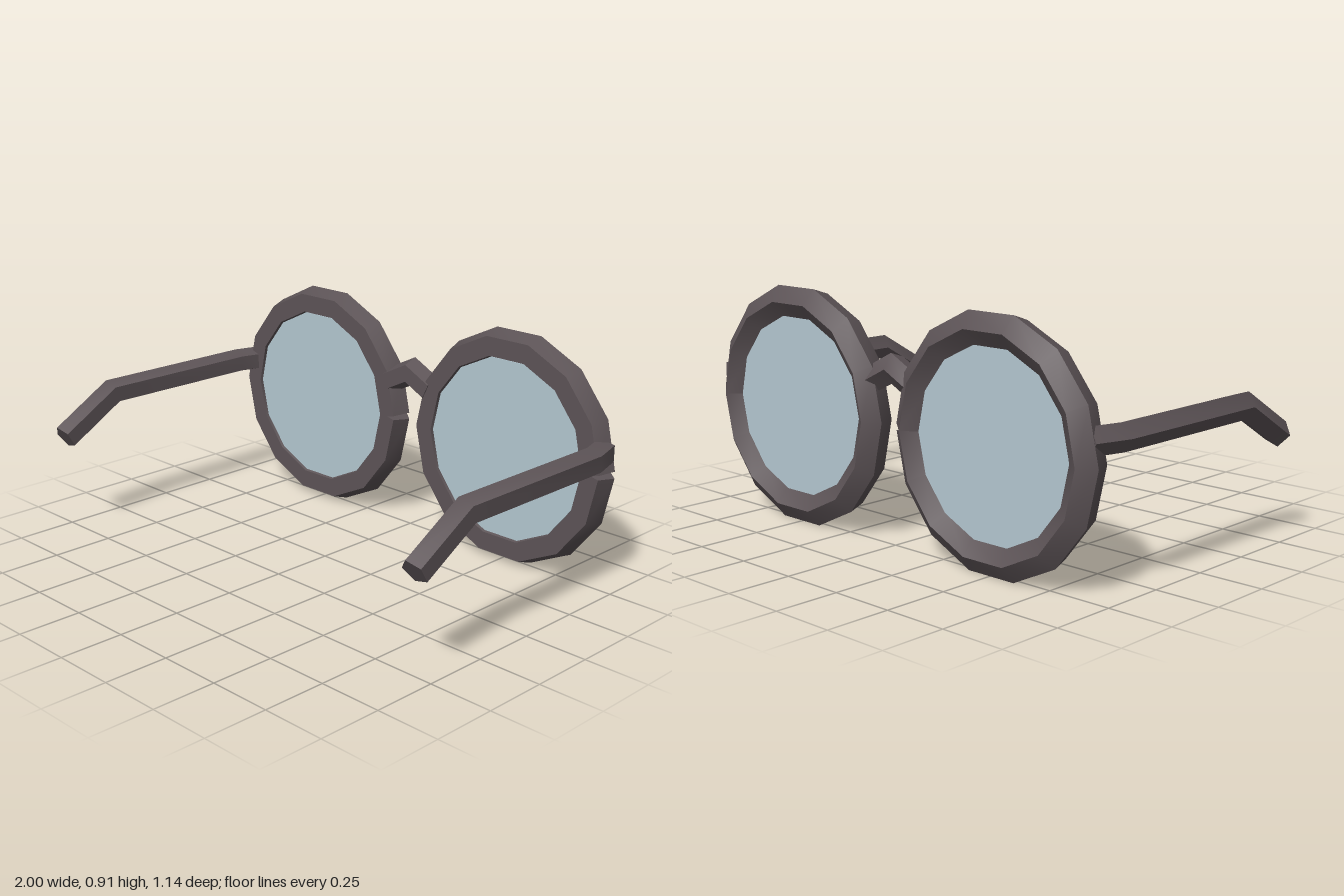
import * as THREE from 'three';
import { toCreasedNormals } from 'three/addons/utils/BufferGeometryUtils.js';

// Sweeps a pentagon along a path with mitred corners and flat end caps.
// `apex` is the direction one corner of the pentagon points to.
function sweep(path, radius, apex, sides = 5) {
  const dirs = path.slice(1).map((p, i) => p.clone().sub(path[i]).normalize());
  const u = apex.clone().addScaledVector(dirs[0], -apex.dot(dirs[0])).normalize();
  const v = dirs[0].clone().cross(u);
  const rings = [[]];
  for (let k = 0; k < sides; k++) {
    const a = (k / sides) * Math.PI * 2;
    rings[0].push(path[0].clone()
      .addScaledVector(u, radius * Math.cos(a))
      .addScaledVector(v, radius * Math.sin(a)));
  }
  for (let i = 1; i < path.length; i++) {
    const dir = dirs[i - 1];
    const plane = dir.clone().add(dirs[i] ?? dir).normalize();
    rings.push(rings[i - 1].map((p) => {
      const t = path[i].clone().sub(p).dot(plane) / dir.dot(plane);
      return p.clone().addScaledVector(dir, t);
    }));
  }
  const pos = [];
  const tri = (...pts) => pts.forEach((p) => pos.push(p.x, p.y, p.z));
  for (let i = 0; i + 1 < rings.length; i++) {
    for (let k = 0; k < sides; k++) {
      const n = (k + 1) % sides;
      tri(rings[i][k], rings[i][n], rings[i + 1][n]);
      tri(rings[i][k], rings[i + 1][n], rings[i + 1][k]);
    }
  }
  const first = rings[0], last = rings[rings.length - 1];
  for (let k = 1; k + 1 < sides; k++) {
    tri(first[0], first[k + 1], first[k]);
    tri(last[0], last[k], last[k + 1]);
  }
  const geo = new THREE.BufferGeometry();
  geo.setAttribute('position', new THREE.Float32BufferAttribute(pos, 3));
  return toCreasedNormals(geo, 0.6);
}

export function createModel() {
  const frameMat = new THREE.MeshStandardMaterial({ color: 0x5c5356 });
  frameMat.name = 'dark frame';
  const lensMat = new THREE.MeshStandardMaterial({ color: 0xb3c7d0 });
  lensMat.name = 'pale blue lens';

  const group = new THREE.Group();
  group.name = 'roundGlasses';
  const V = (x, y, z) => new THREE.Vector3(x, y, z);
  const add = (name, geo, mat) => {
    const mesh = new THREE.Mesh(geo, mat);
    mesh.name = name;
    group.add(mesh);
    return mesh;
  };

  const SEG = 14, CY = 0.457;

  // Lens: a flat slab whose edge sits inside the rim
  const lensFront = -0.464, lensBack = -0.529;
  const lensGeo = new THREE.CylinderGeometry(
    0.362, 0.362, lensFront - lensBack, SEG, 1, false, Math.PI / 2).rotateX(Math.PI / 2);

  for (const [side, s] of [['left', 1], ['right', -1]]) {
    const cx = 0.505 * s;

    // Rim: an open loop, leaving a small wedge-shaped seam at +x
    const loop = [];
    for (let i = 0; i <= SEG; i++) {
      const a = (i / SEG) * Math.PI * 2;
      loop.push(V(cx + 0.405 * Math.cos(a), CY + 0.405 * Math.sin(a), -0.506));
    }
    add(side + 'Rim', sweep(loop, 0.0636, V(0, 0, -1)), frameMat);

    add(side + 'Lens', lensGeo, lensMat)
      .position.set(cx, CY, (lensFront + lensBack) / 2);

    // Temple arm: bends in to the rim and down behind the ear
    const x = 0.952 * s + 0.005;
    add(side + 'Temple', sweep([
      V(x - 0.036 * s, 0.539, -0.512),
      V(x, 0.539, -0.385),
      V(x, 0.539, 0.305),
      V(x, 0.398, 0.545),
    ], 0.053, V(-1, 0, 0)), frameMat);
  }

  // Bridge: flat side to the front
  add('bridge', sweep([
    V(-0.108, 0.607, -0.493),
    V(0, 0.661, -0.493),
    V(0.108, 0.607, -0.493),
  ], 0.053, V(0, 0, -1)), frameMat);

  return group;
}
